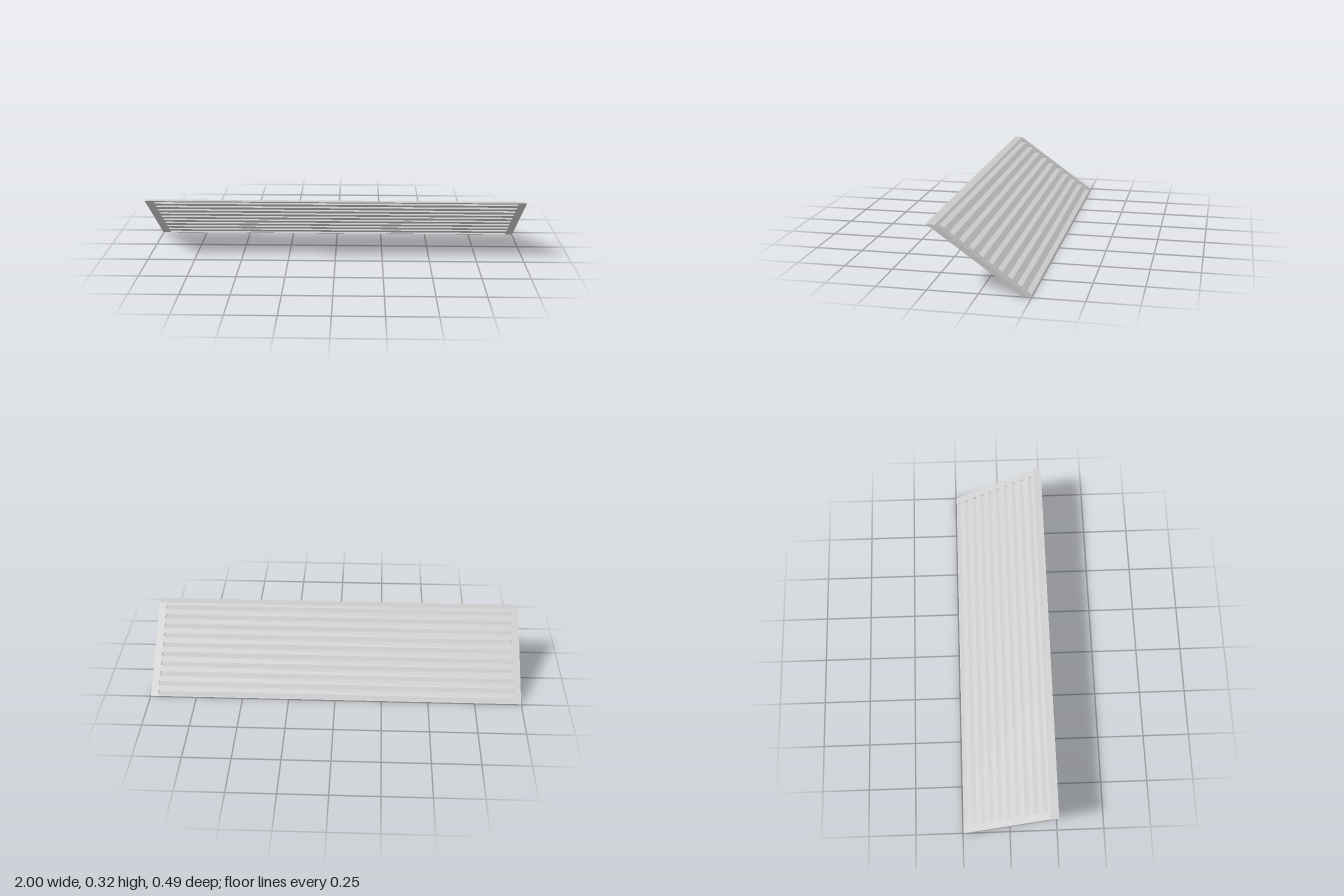
import * as THREE from 'three';

const SLOTS = 10;
const PITCH = 0.102;       // slot spacing along the slope (0..1)
const FIRST = 0.007;       // lower edge of the first slot
const SLOT_HEIGHT = 0.047;
const SLOT_HALF = 0.96;

function rectangle(path, halfWidth, low, high) {
  path.moveTo(-halfWidth, low);
  path.lineTo(halfWidth, low);
  path.lineTo(halfWidth, high);
  path.lineTo(-halfWidth, high);
  path.closePath();
  return path;
}

export function createModel() {
  const model = new THREE.Group();
  model.name = 'slopedGrille';

  // Slatted panel: x is width, shape y runs up the slope
  const outline = rectangle(new THREE.Shape(), 1, 0, 1);
  for (let i = 0; i < SLOTS; i++) {
    const low = FIRST + i * PITCH;
    outline.holes.push(rectangle(new THREE.Path(), SLOT_HALF, low, low + SLOT_HEIGHT));
  }
  const geometry = new THREE.ExtrudeGeometry(outline, { depth: 1, bevelEnabled: false });

  // Shear so that the slope climbs to the front and the slots run nearly level
  const slope = new THREE.Vector3(0, 0.32, 0.449);
  const through = new THREE.Vector3(0, 0.003, 0.043);
  const shear = new THREE.Matrix4()
    .makeBasis(new THREE.Vector3(1, 0, 0), slope, through)
    .setPosition(0, 0, -0.246);
  geometry.applyMatrix4(shear);

  const panel = new THREE.Mesh(
    geometry,
    new THREE.MeshStandardMaterial({ color: 0xcccccc, flatShading: true })
  );
  panel.name = 'slattedPanel';
  model.add(panel);
  return model;
}
